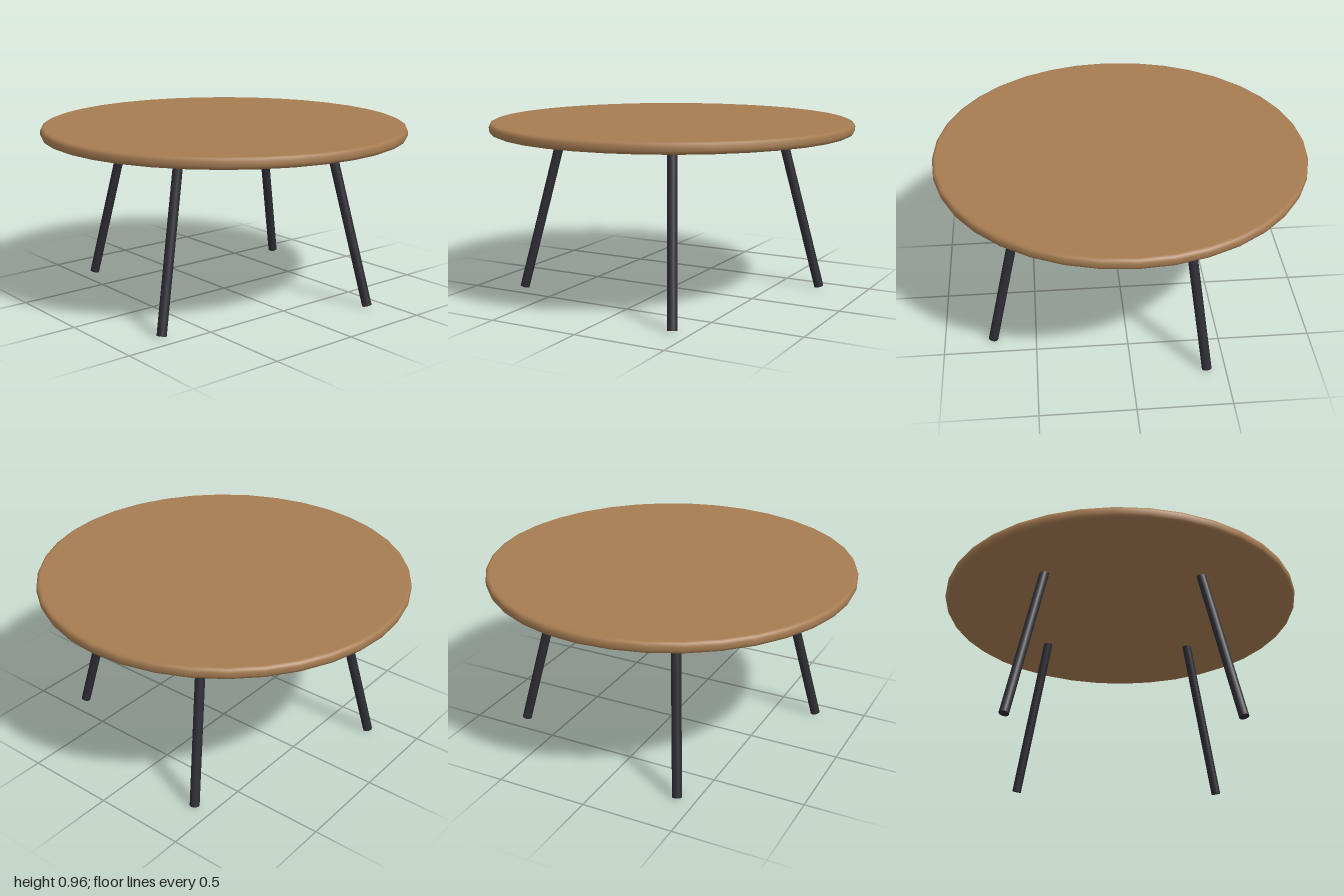
import * as THREE from 'three';

const wood = new THREE.MeshStandardMaterial({ name: 'warm wood', color: 0xa67c52 });
const metal = new THREE.MeshStandardMaterial({ name: 'dark metal', color: 0x2c2c34 });

// Round top with softened edges, smooth shaded
function createTop() {
  const bottom = 0.9, top = 0.96, bevel = 0.02;
  const profile = [
    [0, bottom], [1 - bevel, bottom], [0.994, bottom + 0.006], [1, bottom + bevel],
    [1, top - bevel], [0.994, top - 0.006], [1 - bevel, top], [0, top],
  ].map(([x, y]) => new THREE.Vector2(x, y));
  const mesh = new THREE.Mesh(new THREE.LatheGeometry(profile, 36), wood);
  mesh.name = 'tableTop';
  return mesh;
}

// Straight round leg between two points
function createLeg(foot, head) {
  const axis = head.clone().sub(foot);
  const leg = new THREE.Mesh(new THREE.CylinderGeometry(0.026, 0.026, axis.length(), 16), metal);
  leg.position.copy(foot).add(head).multiplyScalar(0.5);
  leg.quaternion.setFromUnitVectors(new THREE.Vector3(0, 1, 0), axis.normalize());
  return leg;
}

export function createModel() {
  const table = new THREE.Group();
  table.name = 'roundTable';
  table.add(createTop());

  // Four splayed legs, a quarter turn apart
  const up = new THREE.Vector3(0, 1, 0);
  for (let i = 0; i < 4; i++) {
    const foot = new THREE.Vector3(0.4, 0.007, 0.735).applyAxisAngle(up, i * Math.PI / 2);
    const head = new THREE.Vector3(0.288, 0.905, 0.528).applyAxisAngle(up, i * Math.PI / 2);
    const leg = createLeg(foot, head);
    leg.name = `leg${i + 1}`;
    table.add(leg);
  }
  return table;
}
